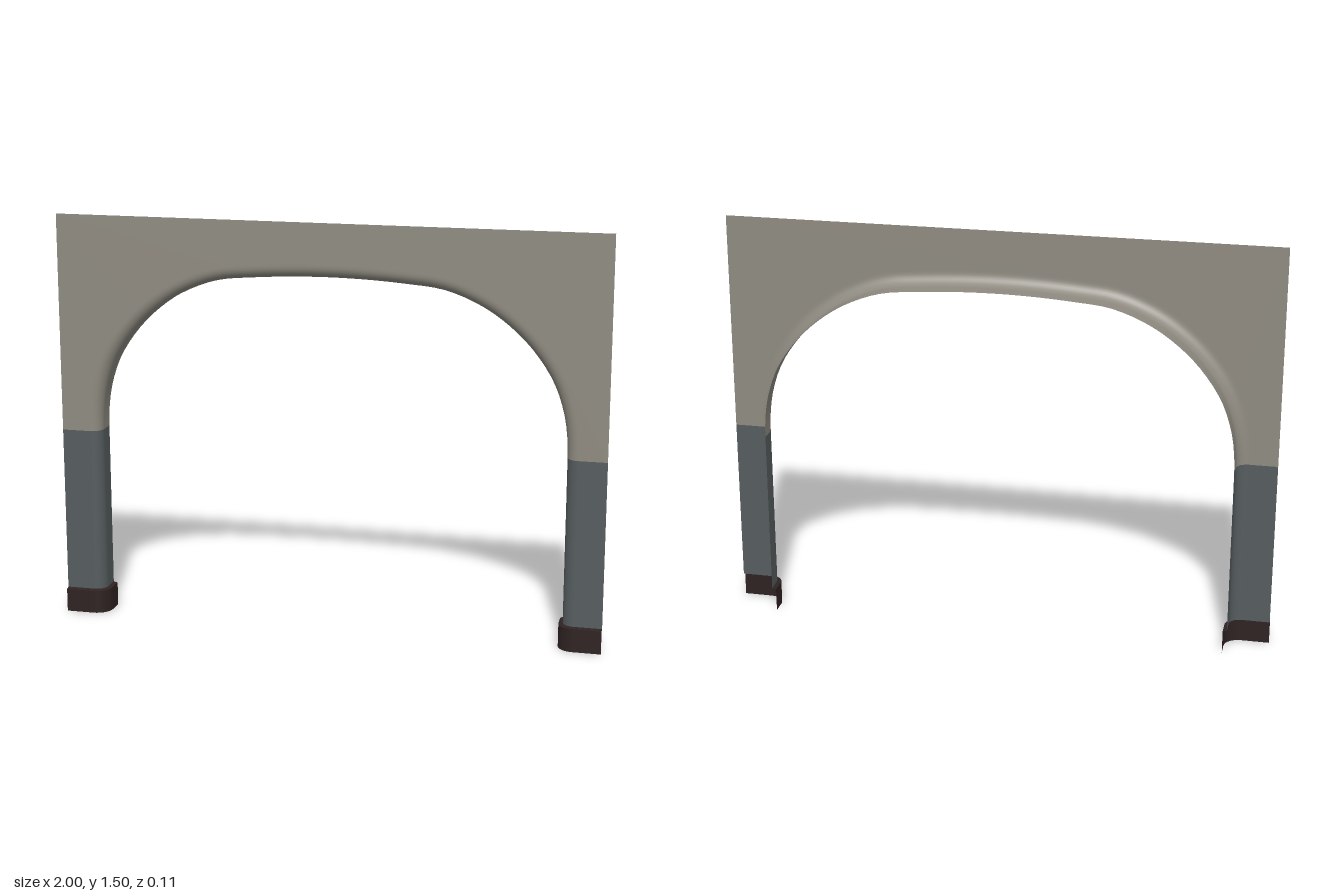
import * as THREE from 'three';

const HALF = 1, TOP = 1.5, BACK = -0.057, FRONT = 0.042;
const JAMB = 0.855, RAIL = 0.7, BASE = 0.09, LIP = 0.05;

const paint = (name, color) => {
  const m = new THREE.MeshStandardMaterial({ color, side: THREE.DoubleSide });
  m.name = name;
  return m;
};

// Section of the wall edge: [distance from opening, z], reveal then rounded corner then flat face.
function section(out, r, flat) {
  const pts = [[-out, BACK]];
  for (let i = 0; i <= 8; i++) {
    const a = (i / 8) * Math.PI / 2;
    pts.push([-out + r * (1 - Math.cos(a)), FRONT + out - r + r * Math.sin(a)]);
  }
  pts.push([flat, FRONT + out]);
  return pts;
}

// Skin between rows of points.
function loft(name, rows, material) {
  const n = rows[0].length, index = [];
  for (let i = 0; i < rows.length - 1; i++) {
    for (let j = 0; j < n - 1; j++) {
      const a = i * n + j, b = a + n;
      index.push(a, b, a + 1, b, b + 1, a + 1);
    }
  }
  const g = new THREE.BufferGeometry();
  g.setAttribute('position', new THREE.Float32BufferAttribute(rows.flat(2), 3));
  g.setIndex(index);
  g.computeVertexNormals();
  const mesh = new THREE.Mesh(g, material);
  mesh.name = name;
  return mesh;
}

// Arch line from left spring to right spring, with outward normals.
function archPath() {
  const half = [[-JAMB, RAIL], [-0.853, 0.76], [-0.838, 0.86], [-0.797, 0.973], [-0.71, 1.095],
    [-0.6, 1.19], [-0.5, 1.245], [-0.4, 1.278], [-0.28, 1.291], [-0.14, 1.3]];
  const all = [...half, [0, 1.303], ...half.map(([x, y]) => [-x, y]).reverse()];
  const curve = new THREE.CatmullRomCurve3(all.map(([x, y]) => new THREE.Vector3(x, y, 0)));
  const N = 64;
  return Array.from({ length: N + 1 }, (_, i) => {
    const p = curve.getPointAt(i / N), t = curve.getTangentAt(i / N);
    if (i === 0) t.set(0, 1, 0);
    if (i === N) t.set(0, -1, 0);
    return { x: p.x, y: p.y, nx: -t.y, ny: t.x };
  });
}

export function createModel() {
  const group = new THREE.Group();
  const upper = paint('upperWallPaint', 0x8f8b81);
  const lower = paint('lowerWallPaint', 0x565d5f);
  const brown = paint('baseboardBrown', 0x2f2222);

  // Rounded arch reveal
  const path = archPath();
  const edge = section(0, 0.042, LIP);
  group.add(loft('archReveal',
    path.map(p => edge.map(([d, z]) => [p.x + p.nx * d, p.y + p.ny * d, z])), upper));

  // Flat wall face around the arch
  const face = new THREE.Shape();
  face.moveTo(-HALF, RAIL);
  for (const p of path) face.lineTo(p.x + p.nx * LIP, p.y + p.ny * LIP);
  face.lineTo(HALF, RAIL);
  face.lineTo(HALF, TOP);
  face.lineTo(-HALF, TOP);
  face.closePath();
  const wall = new THREE.Mesh(new THREE.ShapeGeometry(face), upper);
  wall.position.z = FRONT;
  wall.name = 'upperWall';
  group.add(wall);

  // Lower walls and baseboards on each side
  const wallEdge = section(0, 0.042, HALF - JAMB);
  const boardEdge = section(0.015, 0.057, HALF - JAMB);
  for (const s of [-1, 1]) {
    const side = s < 0 ? 'right' : 'left';
    const row = (sec, y) => sec.map(([d, z]) => [s * (JAMB + d), y, z]);
    const add = (name, rows, mat) => group.add(loft(side + name, s < 0 ? rows : rows.reverse(), mat));
    add('LowerWall', [row(wallEdge, BASE), row(wallEdge, RAIL)], lower);
    add('Baseboard', [row(boardEdge, 0), row(boardEdge, BASE - 0.004)], brown);
    add('BaseboardTop', [row(boardEdge, BASE - 0.004), row(wallEdge, BASE)], brown);
  }
  return group;
}
